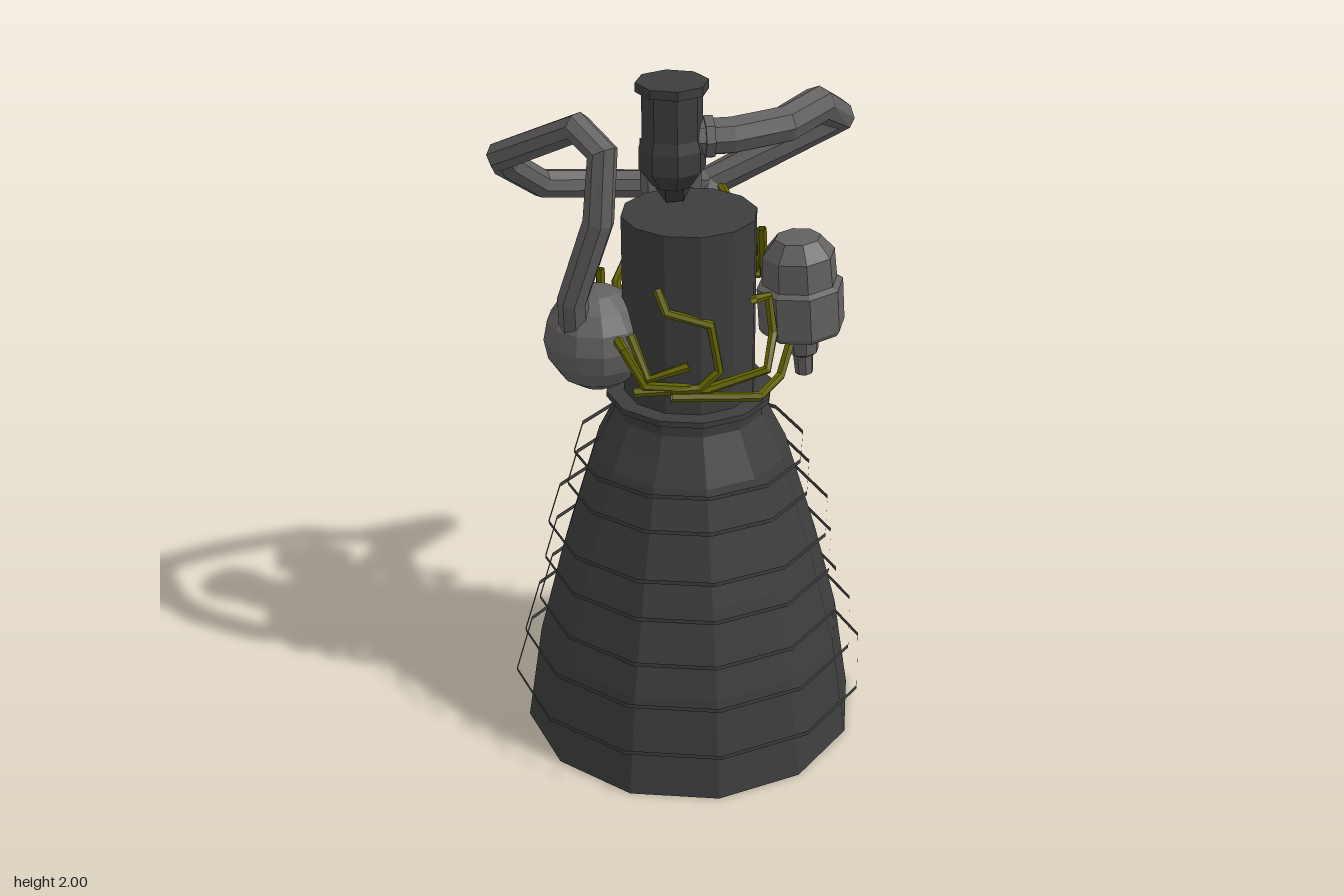
import * as THREE from 'three';

// Polyline curve sampled exactly at its corners, with bisecting tangents
class Polyline extends THREE.Curve {
  constructor(points) {
    super();
    this.points = points.map(p => new THREE.Vector3(...p));
  }
  getPoint(t) {
    const n = this.points.length - 1;
    const i = Math.min(Math.floor(t * n + 1e-6), n - 1);
    return this.points[i].clone().lerp(this.points[i + 1], t * n - i);
  }
  getPointAt(u) { return this.getPoint(u); }
  getTangentAt(u) {
    const p = this.points, n = p.length - 1, i = Math.round(u * n);
    const out = new THREE.Vector3();
    if (i > 0) out.add(p[i].clone().sub(p[i - 1]).normalize());
    if (i < n) out.add(p[i + 1].clone().sub(p[i]).normalize());
    return out.normalize();
  }
}

export function createModel() {
  const group = new THREE.Group();
  const material = (name, color) => {
    const m = new THREE.MeshStandardMaterial({ color, flatShading: true, side: THREE.DoubleSide });
    m.name = name;
    return m;
  };
  const dark = material('dark metal', 0x3d3d3d);
  const grey = material('grey metal', 0x636060);
  const olive = material('olive cable', 0x626200);

  const add = (name, geometry, mat, x = 0, y = 0, z = 0) => {
    const mesh = new THREE.Mesh(geometry, mat);
    mesh.name = name;
    mesh.position.set(x, y, z);
    group.add(mesh);
    return mesh;
  };
  // Profile of [radius, height], bottom to top
  const lathe = (profile, sides) =>
    new THREE.LatheGeometry(profile.map(([r, y]) => new THREE.Vector2(r, y)), sides);
  const pipe = (name, points, radius, sides, mat) =>
    add(name, new THREE.TubeGeometry(new Polyline(points), points.length - 1, radius, sides), mat);

  const axis = -0.016;

  // Nozzle bell with closed mouth and collar at the throat
  add('nozzleBell', lathe([
    [0, 0], [0.503, 0], [0.455, 0.31], [0.385, 0.58], [0.285, 0.91], [0.245, 0.99], [0.218, 1.045], [0, 1.045],
  ], 12), dark, axis);
  add('throatCollar', lathe([
    [0, 1.03], [0.22, 1.03], [0.22, 1.08], [0.24, 1.08], [0.24, 1.097], [0, 1.097],
  ], 12), dark, axis);

  // Thin open hoops standing off the bell
  const hoops = [[0.535, 0.172], [0.503, 0.313], [0.455, 0.425], [0.434, 0.565], [0.42, 0.683], [0.36, 0.81], [0.338, 0.912]];
  for (const [r, y] of hoops)
    add('nozzleHoop', new THREE.CylinderGeometry(r, r, 0.013, 12, 1, true), dark, axis, y);

  // Combustion chamber
  add('chamber', new THREE.CylinderGeometry(0.19, 0.19, 0.54, 12), dark, axis, 1.357);

  // Inlet can on top and the strut under it
  add('inletCan', lathe([
    [0, 1.71], [0.055, 1.71], [0.092, 1.76], [0.092, 1.82], [0.083, 1.85], [0.083, 1.97], [0.1, 1.975], [0.1, 2], [0, 2],
  ], 8), dark, -0.062);
  pipe('inletStrut', [[-0.062, 1.74, 0], [-0.045, 1.67, -0.09], [-0.025, 1.64, -0.24]], 0.05, 6, dark);

  // Control box
  add('controlBox', new THREE.BoxGeometry(0.153, 0.153, 0.155), grey, -0.025, 1.648, -0.268);

  // Spherical tank
  add('tank', new THREE.SphereGeometry(0.152, 12, 8), grey, -0.275, 1.258, -0.03);

  // Turbopump, leaning slightly outward at its foot
  const pump = add('turbopump', lathe([
    [0, -0.2], [0.026, -0.2], [0.03, -0.14], [0.045, -0.13], [0.052, -0.06], [0.115, -0.06], [0.125, -0.045],
    [0.125, 0.08], [0.108, 0.09], [0.104, 0.175], [0.065, 0.222], [0, 0.226],
  ], 8), grey, 0.306, 1.31, 0);
  pump.rotation.z = 0.07;

  // Large feed pipes
  pipe('rightFeedPipe', [
    [0, 1.84, 0], [0.1, 1.84, 0], [0.25, 1.855, -0.02], [0.37, 1.865, -0.14], [0.5, 1.745, -0.4],
    [0.13, 1.54, -0.455], [0.06, 1.37, -0.36], [0.02, 1.25, -0.15],
  ], 0.052, 8, grey);
  add('rightPipeFlange', new THREE.CylinderGeometry(0.06, 0.06, 0.025, 8), grey, 0.035, 1.84, 0).rotation.z = Math.PI / 2;
  pipe('leftFeedPipe', [
    [-0.345, 1.32, 0.03], [-0.35, 1.42, 0.06], [-0.28, 1.66, 0.11], [-0.265, 1.85, 0.11], [-0.32, 1.895, 0.03],
    [-0.505, 1.73, -0.25], [-0.49, 1.68, -0.33], [-0.38, 1.57, -0.44], [-0.16, 1.535, -0.495], [0.12, 1.535, -0.44],
  ], 0.043, 8, grey);

  // Cables wrapped around the chamber
  const cables = [
    [[-0.24, 1.3, 0.05], [-0.225, 1.3, 0.165], [-0.17, 1.19, 0.17], [0, 1.175, 0.19], [0.17, 1.22, 0.185], [0.2, 1.3, 0.12], [0.19, 1.4, 0.09], [0.14, 1.41, 0.13]],
    [[-0.13, 1.47, 0.15], [-0.11, 1.41, 0.18], [0.01, 1.37, 0.19], [0.035, 1.23, 0.19], [-0.02, 1.18, 0.19], [-0.2, 1.17, 0.165]],
    [[-0.2, 1.32, 0.11], [-0.16, 1.21, 0.17], [-0.05, 1.25, 0.19]],
    [[-0.1, 1.16, 0.19], [0.15, 1.14, 0.19], [0.23, 1.15, 0.09], [0.27, 1.24, 0.04]],
    [[-0.25, 1.3, -0.13], [-0.25, 1.42, -0.13]],
    [[-0.14, 1.3, -0.13], [-0.19, 1.32, -0.19], [-0.12, 1.34, -0.235], [0.24, 1.33, -0.225], [0.21, 1.42, -0.08], [0.2, 1.54, -0.06]],
    [[0.12, 1.6, -0.16], [0.12, 1.6, -0.24], [0.15, 1.48, -0.24], [0.22, 1.33, -0.24], [0.2, 1.42, -0.13], [0.2, 1.5, -0.12]],
    [[-0.1, 1.47, -0.16], [-0.14, 1.45, -0.23], [-0.2, 1.36, -0.17], [-0.2, 1.24, -0.1]],
  ];
  for (const points of cables) pipe('cable', points, 0.014, 6, olive);

  return group;
}
